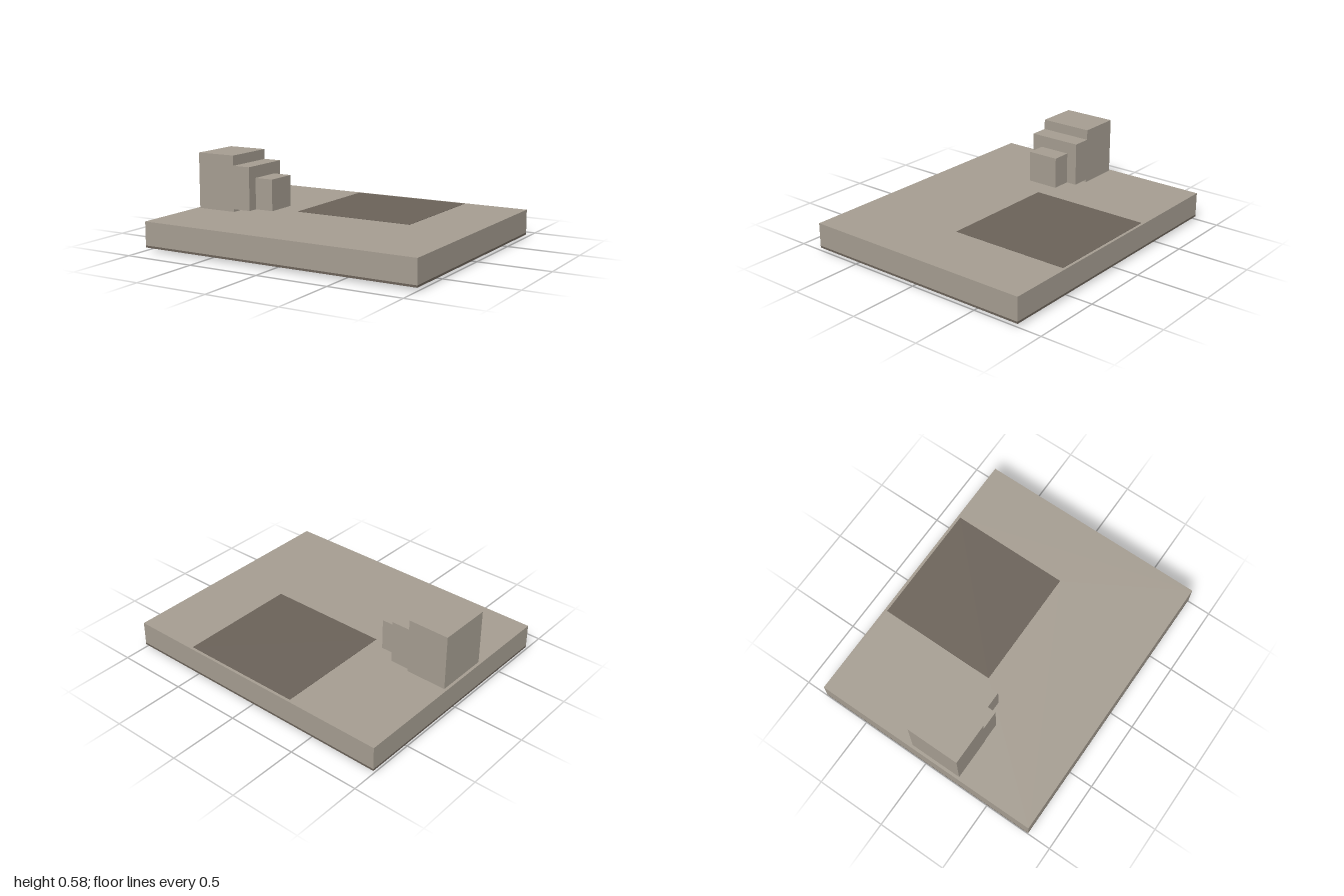
import * as THREE from 'three';

export function createModel() {
  const model = new THREE.Group();
  const paint = (name, color) => {
    const m = new THREE.MeshStandardMaterial({ color });
    m.name = name;
    return m;
  };
  const stone = paint('warm stone', 0xa59d91);
  const dark = paint('dark brown grey', 0x6b6259);
  const concrete = paint('grey floor', 0xa8a498);
  const wood = paint('brown floor', 0xb08872);
  const red = paint('red', 0x99485a);

  const add = (name, geometry, material) => {
    const mesh = new THREE.Mesh(geometry, material);
    mesh.name = name;
    model.add(mesh);
    return mesh;
  };
  // Box given by its limits on each axis
  const box = (name, material, [x0, x1], [y0, y1], [z0, z1]) => {
    const mesh = add(name, new THREE.BoxGeometry(x1 - x0, y1 - y0, z1 - z0), material);
    mesh.position.set((x0 + x1) / 2, (y0 + y1) / 2, (z0 + z1) / 2);
  };

  // Courtyard opening, shared by all storey layers
  const court = { x: [-0.32, 0.54], z: [-0.81, 0.04] };
  const rect = (target, [x0, x1], [z0, z1]) => {
    target.moveTo(x0, -z1);
    target.lineTo(x1, -z1);
    target.lineTo(x1, -z0);
    target.lineTo(x0, -z0);
    target.closePath();
    return target;
  };
  // Rectangular layer pierced by the courtyard
  const layer = (name, material, hx, hz, y0, y1) => {
    const shape = rect(new THREE.Shape(), [-hx, hx], [-hz, hz]);
    shape.holes.push(rect(new THREE.Path(), court.x, court.z));
    const g = new THREE.ExtrudeGeometry(shape, { depth: y1 - y0, bevelEnabled: false });
    g.rotateX(-Math.PI / 2);
    g.translate(0, y0, 0);
    add(name, g, material);
  };

  // Main storey and its base slab
  layer('storey', stone, 1, 0.83, 0.035, 0.196);
  layer('baseSlab', dark, 1, 0.83, 0.021, 0.035);
  layer('corridorFloor', concrete, 0.985, 0.815, 0.0195, 0.021);
  box('courtyardRoof', dark, court.x, [0.19, 0.198], court.z);

  // Room floors seen on the underside
  const floorY = [0.0175, 0.0195];
  box('hallFloor', red, [-0.23, 0.985], floorY, [0.32, 0.815]);
  box('frontRoomFloor', wood, [-0.985, -0.23], floorY, [0.3, 0.815]);
  box('backRoomFloor', wood, [-0.985, -0.325], floorY, [-0.815, -0.26]);
  box('storeRoomFloor', dark, [0.545, 0.985], floorY, [-0.815, -0.28]);
  box('floorGroove', dark, [-0.7, -0.25], [0.016, 0.0175], [0.735, 0.745]);

  // Small wedge under the floor
  const wedge = new THREE.Shape();
  wedge.moveTo(-0.73, 0.0195);
  wedge.lineTo(-0.69, 0);
  wedge.lineTo(-0.69, 0.0195);
  wedge.closePath();
  const wedgeGeometry = new THREE.ExtrudeGeometry(wedge, { depth: 0.175, bevelEnabled: false });
  wedgeGeometry.translate(0, 0, 0.09);
  add('wedge', wedgeGeometry, red);

  // Stepped tower on the roof
  box('towerTall', stone, [-0.98, -0.69], [0.196, 0.585], [-0.105, 0.27]);
  box('towerMiddle', stone, [-0.69, -0.56], [0.215, 0.515], [-0.105, 0.27]);
  box('towerLow', stone, [-0.56, -0.425], [0.215, 0.432], [-0.03, 0.195]);

  return model;
}
